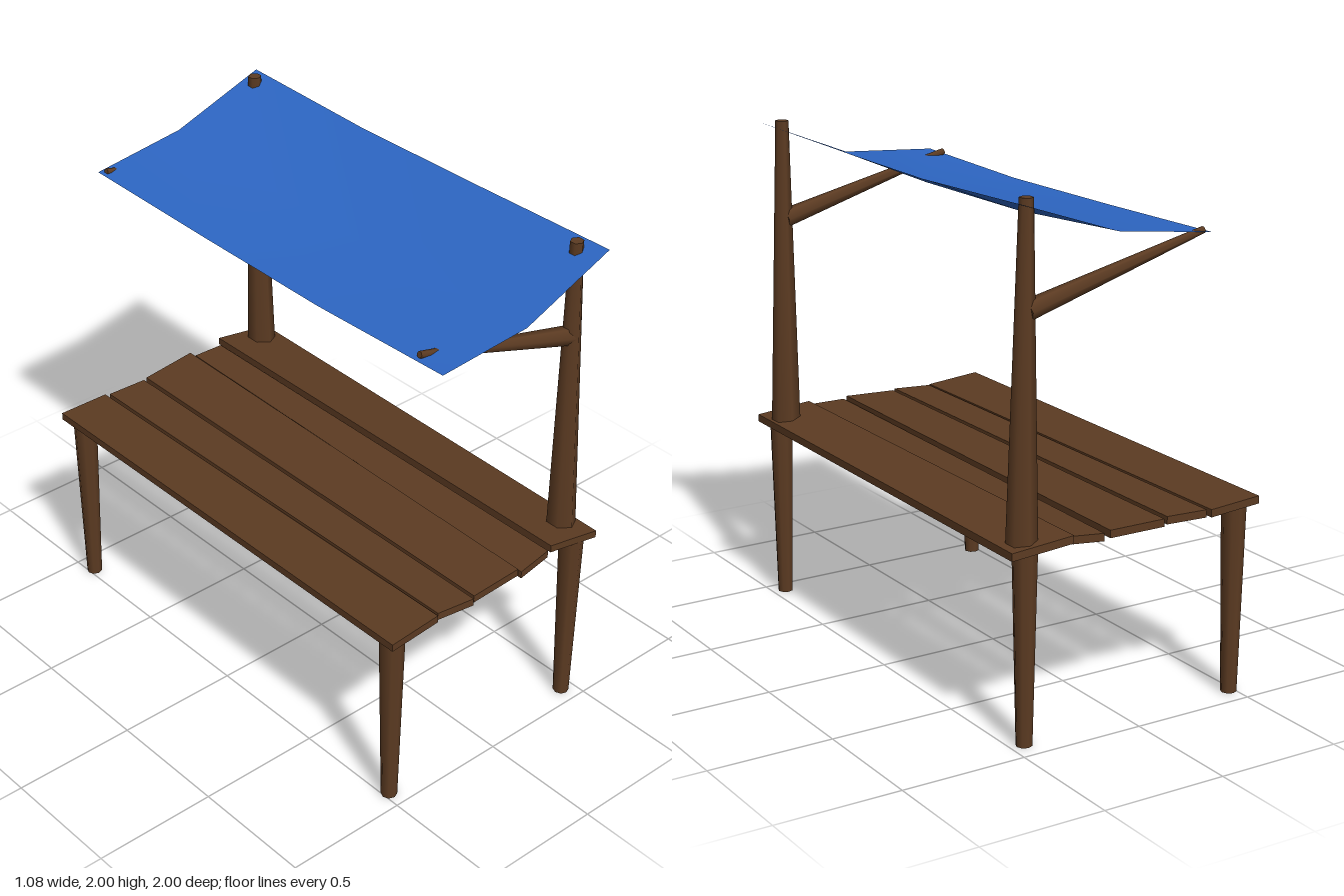
import * as THREE from 'three';

const wood = new THREE.MeshStandardMaterial({ color: 0x5c3b22 });
wood.name = 'brown wood';
const cloth = new THREE.MeshStandardMaterial({ color: 0x2d66c3, side: THREE.DoubleSide });
cloth.name = 'blue cloth';

// Tapered round beam between two points
function beam(name, from, to, r0, r1, sides) {
  const a = new THREE.Vector3(...from), b = new THREE.Vector3(...to);
  const dir = b.clone().sub(a);
  const mesh = new THREE.Mesh(new THREE.CylinderGeometry(r1, r0, dir.length(), sides), wood);
  mesh.position.copy(a).add(b).multiplyScalar(0.5);
  mesh.quaternion.setFromUnitVectors(new THREE.Vector3(0, 1, 0), dir.normalize());
  mesh.name = name;
  return mesh;
}

// Board with skewed ends: each end is [xLeft, xRight, zLeft, zRight], y holds the top heights
function plank(back, front, y) {
  const geo = new THREE.BoxGeometry(1, 1, 1);
  const p = geo.attributes.position;
  for (let i = 0; i < p.count; i++) {
    const end = p.getZ(i) > 0 ? front : back;
    const side = p.getX(i) > 0 ? 1 : 0;
    const top = y[side] - (p.getY(i) > 0 ? 0 : 0.03);
    p.setXYZ(i, end[side], top, end[2 + side]);
  }
  geo.computeVertexNormals();
  return new THREE.Mesh(geo, wood);
}

export function createModel() {
  const model = new THREE.Group();

  // Table top
  const table = new THREE.Group();
  table.name = 'tableTop';
  const boards = [
    [[-0.54, -0.315, -0.98, -0.99], [-0.54, -0.295, 1.0, 0.975], [0.785, 0.775]],
    [[-0.3, -0.13, -0.98, -0.97], [-0.285, -0.13, 0.965, 0.99], [0.775, 0.777]],
    [[-0.11, 0.14, -0.98, -1.0], [-0.115, 0.11, 0.977, 0.977], [0.775, 0.785]],
    [[0.155, 0.28, -0.985, -0.97], [0.12, 0.28, 0.985, 0.965], [0.772, 0.78]],
    [[0.295, 0.54, -1.0, -0.98], [0.295, 0.52, 0.965, 0.985], [0.795, 0.768]],
  ];
  boards.forEach((b, i) => {
    const mesh = plank(...b);
    mesh.name = `plank${i + 1}`;
    table.add(mesh);
  });
  model.add(table);

  // Legs
  for (const x of [-0.477, 0.444])
    for (const z of [0.93, -0.912])
      model.add(beam('leg', [x, 0, z], [x, 0.755, z], 0.031, 0.048, 8));

  // Posts with sloping braces on the left side
  for (const z of [0.86, -0.912]) {
    model.add(beam('post', [0.457, 0.765, z], [0.443, 2, z], 0.058, 0.026, 6));
    model.add(beam('brace', [0.44, 1.608, z - 0.005], [-0.282, 1.81, z - 0.031], 0.038, 0.013, 6));
  }

  // Sagging awning: heights from back to front at three x positions
  const heights = [
    [1.803, 1.79, 1.782, 1.798],
    [1.853, 1.812, 1.806, 1.825],
    [1.99, 1.97, 1.976, 1.986],
  ];
  const geo = new THREE.PlaneGeometry(0.8, 1.935, 2, 3).rotateX(-Math.PI / 2);
  const p = geo.attributes.position;
  for (let i = 0; i < p.count; i++) p.setY(i, heights[i % 3][Math.floor(i / 3)]);
  geo.translate(0.1, 0, -0.003);
  geo.computeVertexNormals();
  const awning = new THREE.Mesh(geo, cloth);
  awning.name = 'awning';
  model.add(awning);

  return model;
}
